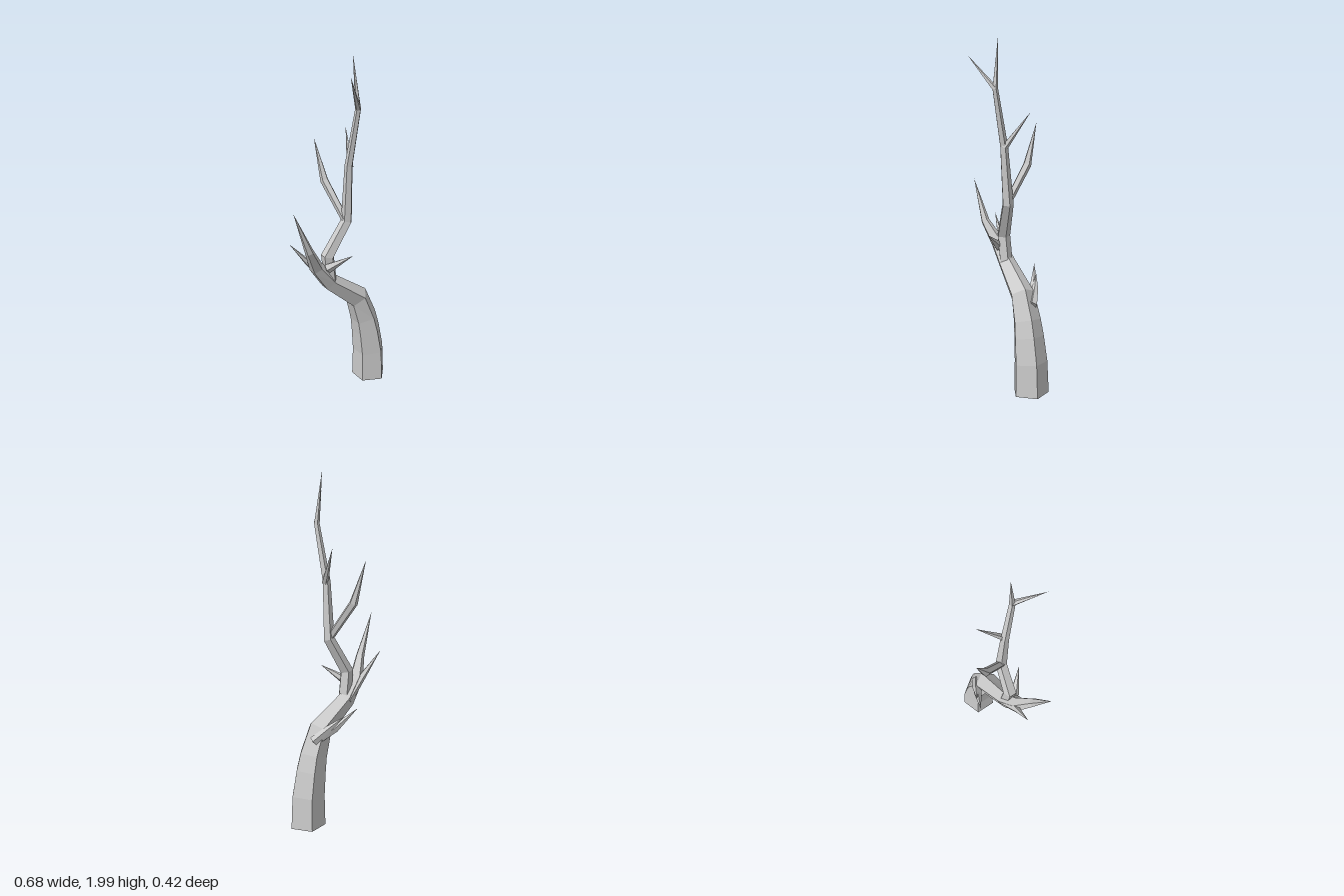
import * as THREE from 'three';

const SIDES = 5;
const material = new THREE.MeshStandardMaterial({ color: 0xcccccc, flatShading: true });

// Tapered five-sided limb through stations [x, y, z, radius]; a radius of 0 makes a point.
function limb(name, stations, facing = [1, 0, 0], baseDirection = null) {
  const centres = stations.map(([x, y, z]) => new THREE.Vector3(x, y, z));
  const last = centres.length - 1;
  const normal = new THREE.Vector3(...facing);
  const positions = [];
  const index = [];

  centres.forEach((c, i) => {
    // Each ring lies on the mitre between its two neighbouring segments
    const tangent = new THREE.Vector3();
    if (i > 0) tangent.add(c.clone().sub(centres[i - 1]).normalize());
    if (i < last) tangent.add(centres[i + 1].clone().sub(c).normalize());
    if (i === 0 && baseDirection) tangent.set(...baseDirection);
    tangent.normalize();
    normal.addScaledVector(tangent, -normal.dot(tangent)).normalize();
    const side = tangent.clone().cross(normal);
    for (let j = 0; j < SIDES; j++) {
      const a = (j / SIDES) * Math.PI * 2;
      const p = c.clone()
        .addScaledVector(normal, Math.cos(a) * stations[i][3])
        .addScaledVector(side, Math.sin(a) * stations[i][3]);
      positions.push(p.x, p.y, p.z);
    }
  });

  for (let i = 0; i < last; i++) {
    for (let j = 0; j < SIDES; j++) {
      const a = i * SIDES + j;
      const b = i * SIDES + (j + 1) % SIDES;
      index.push(a, b, a + SIDES);
      if (stations[i + 1][3] > 0) index.push(b, b + SIDES, a + SIDES);
    }
  }
  // Base cap
  for (let j = 1; j < SIDES - 1; j++) index.push(0, j + 1, j);

  const indexed = new THREE.BufferGeometry();
  indexed.setAttribute('position', new THREE.Float32BufferAttribute(positions, 3));
  indexed.setIndex(index);
  const geometry = indexed.toNonIndexed();
  geometry.computeVertexNormals();
  const mesh = new THREE.Mesh(geometry, material);
  mesh.name = name;
  return mesh;
}

export function createModel() {
  const tree = new THREE.Group();
  tree.name = 'bareTree';

  tree.add(
    // Trunk bending over into the long left-leaning limb
    limb('trunk', [
      [0.232, 0, -0.055, 0.106],
      [0.228, 0.18, -0.053, 0.1],
      [0.206, 0.32, -0.05, 0.091],
      [0.186, 0.41, -0.048, 0.083],
      [0.132, 0.55, -0.042, 0.072],
      [-0.065, 0.69, -0.027, 0.053],
      [-0.16, 0.8, -0.004, 0.042],
      [-0.23, 0.92, 0.048, 0.026],
      [-0.34, 1.165, 0.08, 0],
    ], [1, 0, 0], [0, 1, 0]),

    // Crooked upright leader
    limb('leader', [
      [-0.06, 0.69, -0.02, 0.04],
      [-0.082, 0.855, -0.012, 0.04],
      [0.033, 1.055, 0.005, 0.034],
      [0.032, 1.38, 0.028, 0.024],
      [0.055, 1.7, 0.088, 0.017],
      [0.035, 1.99, 0.062, 0],
    ]),

    // Bent branch growing backward from the leader
    limb('backBranch', [
      [0.025, 1.06, 0.005, 0.022],
      [-0.032, 1.27, -0.14, 0.025],
      [-0.062, 1.51, -0.21, 0],
    ]),

    // Straight twigs on the leader
    limb('upperTwig', [[0.04, 1.375, 0.03, 0.02], [0.09, 1.575, -0.11, 0]]),
    limb('crownTwig', [[0.055, 1.7, 0.088, 0.017], [-0.062, 1.885, 0.207, 0]]),
    limb('frontTwig', [[-0.095, 0.79, 0.01, 0.03], [0.01, 0.88, 0.117, 0]]),

    // Side shoot running beside the left limb
    limb('sideShoot', [
      [-0.06, 0.69, -0.05, 0.03],
      [-0.19, 0.82, -0.035, 0.02],
      [-0.31, 0.955, -0.045, 0],
    ], [0, 1, 0]),

    // Pair of spikes behind the trunk's elbow
    limb('elbowSpikeLong', [
      [0.19, 0.5, -0.075, 0.03],
      [0.09, 0.57, -0.135, 0.024],
      [-0.03, 0.68, -0.188, 0],
    ], [0, 1, 0]),
    limb('elbowSpikeShort', [
      [0.2, 0.5, -0.08, 0.028],
      [0.13, 0.57, -0.125, 0.02],
      [0.048, 0.64, -0.167, 0],
    ], [0, 1, 0]),
  );

  return tree;
}
